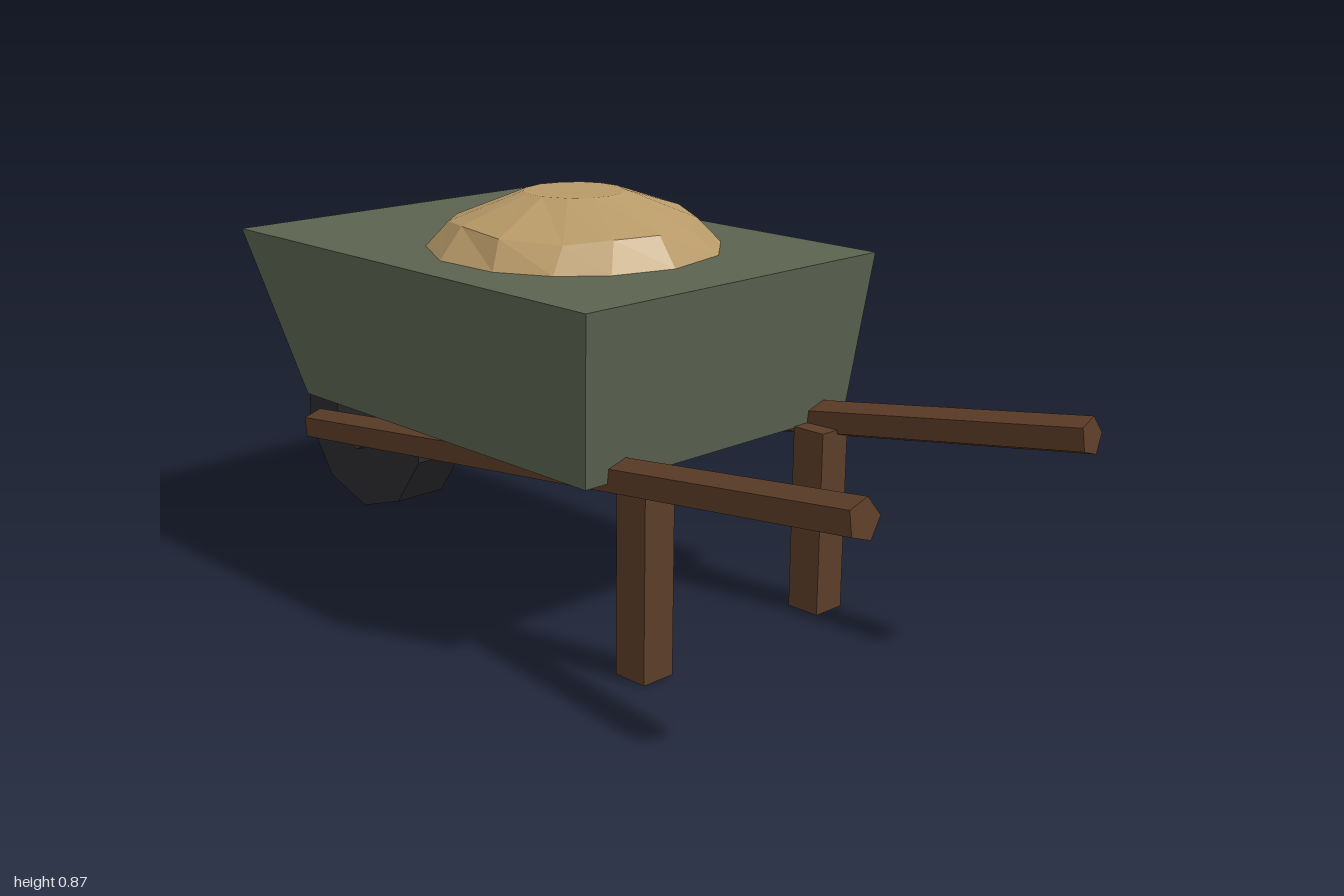
import * as THREE from 'three';

const material = (color) => new THREE.MeshStandardMaterial({ color, flatShading: true });
const wood = material(0x5c3d28);
const green = material(0x5b6350);
const rubber = material(0x2b2a2d);
const iron = material(0x363538);
const sand = material(0xb89a68);

function addMesh(parent, name, geometry, mat, x = 0, y = 0, z = 0) {
  const mesh = new THREE.Mesh(geometry, mat);
  mesh.name = name;
  mesh.position.set(x, y, z);
  parent.add(mesh);
  return mesh;
}

// Prism lying along x with a corner pointing straight up
function axlePrism(radius, width, sides) {
  return new THREE.CylinderGeometry(radius, radius, width, sides)
    .rotateY(Math.PI / 2).rotateZ(Math.PI / 2);
}

// Closed tray: a box whose walls flare outward, most strongly at the wheel end
function trayGeometry() {
  const geometry = new THREE.BoxGeometry(2, 2, 2);
  const p = geometry.attributes.position;
  for (let i = 0; i < p.count; i++) {
    const top = p.getY(i) > 0;
    const front = p.getZ(i) > 0;
    const x = Math.sign(p.getX(i)) * (top ? 0.41 : 0.375);
    const z = front ? (top ? 0.41 : 0.37) : (top ? -0.72 : -0.54);
    p.setXYZ(i, x, top ? 0.748 : 0.397, z);
  }
  geometry.computeVertexNormals();
  return geometry;
}

// Low faceted heap with slightly uneven sides and a flat crown
function heapGeometry() {
  const profile = [[0.322, 0.735], [0.316, 0.748], [0.265, 0.805], [0.108, 0.867], [0, 0.867]]
    .map(([r, y]) => new THREE.Vector2(r, y));
  const geometry = new THREE.LatheGeometry(profile, 14);
  const p = geometry.attributes.position;
  for (let i = 0; i < p.count; i++) {
    const x = p.getX(i), y = p.getY(i), z = p.getZ(i);
    const r = Math.hypot(x, z);
    if (r < 0.01) continue;
    const a = Math.atan2(z, x);
    const mid = r > 0.2 && r < 0.3;
    const angle = a + 0.07 * Math.sin(3 * a + 20 * y);
    const radius = r * (mid ? 1 + 0.03 * Math.sin(5 * a) : 1);
    p.setXYZ(i, radius * Math.cos(angle), y + (mid ? 0.006 * Math.sin(4 * a + 1) : 0), radius * Math.sin(angle));
  }
  geometry.computeVertexNormals();
  return geometry;
}

export function createModel() {
  const model = new THREE.Group();
  model.name = 'wheelbarrow';

  addMesh(model, 'tray', trayGeometry(), green);
  addMesh(model, 'sandHeap', heapGeometry(), sand, 0, 0, -0.07);

  // Wheel and hub
  const wheel = new THREE.Group();
  wheel.name = 'wheel';
  wheel.position.set(0, 0.236, -0.775);
  addMesh(wheel, 'tyre', axlePrism(0.236, 0.132, 10), rubber);
  addMesh(wheel, 'hub', axlePrism(0.087, 0.172, 6), iron);
  model.add(wheel);

  // Handles splay outward and rise from the wheel to the grips; legs stand beneath
  for (const side of [-1, 1]) {
    const label = side > 0 ? 'left' : 'right';
    const low = new THREE.Vector3(side * 0.2, 0.238, -0.77);
    const grip = new THREE.Vector3(side * 0.335, 0.494, 0.994);
    const rod = new THREE.CylinderGeometry(0.039, 0.039, low.distanceTo(grip), 5)
      .rotateY(Math.PI / 2).rotateX(Math.PI / 2);
    const handle = addMesh(model, label + 'Handle', rod, wood);
    handle.position.copy(low).lerp(grip, 0.5);
    handle.lookAt(grip);

    addMesh(model, label + 'Leg', new THREE.BoxGeometry(0.078, 0.4, 0.078), wood, side * 0.255, 0.2, 0.408);
  }
  return model;
}
